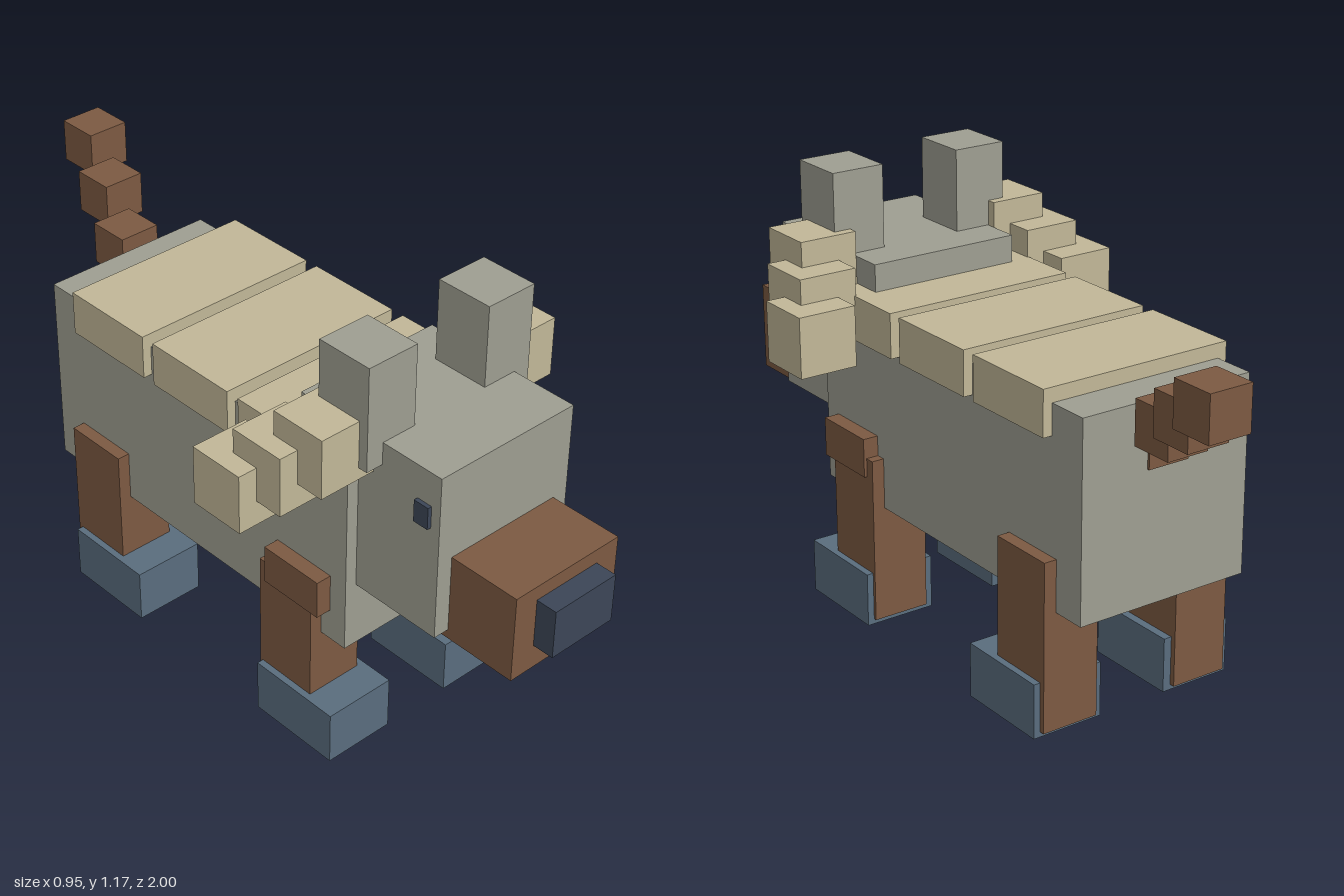
import * as THREE from 'three';

function material(name, color) {
  const m = new THREE.MeshStandardMaterial({ color });
  m.name = name;
  return m;
}

export function createModel() {
  const model = new THREE.Group();
  model.name = 'blockyAnimal';
  const grey = material('grey fur', 0x9f9f92);
  const tan = material('tan mane', 0xc2b898);
  const brown = material('brown fur', 0x7d5a42);
  const blue = material('blue grey paw', 0x5a6d7e);
  const dark = material('dark navy', 0x3c4657);

  // Box given by its extents on each axis
  function box(name, mat, [x0, x1], [y0, y1], [z0, z1]) {
    const mesh = new THREE.Mesh(new THREE.BoxGeometry(x1 - x0, y1 - y0, z1 - z0), mat);
    mesh.position.set((x0 + x1) / 2, (y0 + y1) / 2, (z0 + z1) / 2);
    mesh.name = name;
    model.add(mesh);
  }
  // The same box on the left (+x) and mirrored on the right
  function pair(name, mat, [x0, x1], y, z) {
    box(name + 'Left', mat, [x0, x1], y, z);
    box(name + 'Right', mat, [-x1, -x0], y, z);
  }

  // Torso, chest and head
  box('body', grey, [-0.243, 0.243], [0.324, 0.84], [-0.597, 0.487]);
  box('chestTuft', grey, [-0.052, 0.052], [0.385, 0.49], [0.39, 0.495]);
  box('head', grey, [-0.21, 0.21], [0.502, 0.95], [0.295, 0.745]);
  box('muzzle', brown, [-0.166, 0.166], [0.477, 0.712], [0.66, 0.943]);
  box('nose', dark, [-0.098, 0.098], [0.542, 0.673], [0.87, 1]);
  pair('ear', grey, [0.112, 0.258], [0.89, 1.167], [0.404, 0.562]);
  pair('eye', dark, [0.18, 0.221], [0.802, 0.861], [0.674, 0.718]);

  // Stepped mane blocks beside the head
  for (let i = 0; i < 3; i++) {
    const x = 0.212 + i * 0.052, y = 0.858 - i * 0.0655, z = 0.379 - i * 0.078;
    pair('maneBlock' + (i + 1), tan, [x, x + 0.158], [y, y + 0.158], [z, z + 0.157]);
  }

  // Plates along the back
  for (let i = 0; i < 3; i++) {
    const z = -0.484 + i * 0.312;
    box('backPlate' + (i + 1), tan, [-0.268, 0.268], [0.76, 0.878], [z, z + 0.274]);
  }

  // Legs and paws
  pair('frontLeg', brown, [0.12, 0.277], [0.014, 0.46], [0.224, 0.405]);
  pair('shoulder', brown, [0.115, 0.285], [0.41, 0.514], [0.25, 0.435]);
  pair('rearLeg', brown, [0.12, 0.277], [0.014, 0.46], [-0.504, -0.319]);
  pair('frontPaw', blue, [0.098, 0.295], [0, 0.145], [0.233, 0.497]);
  pair('rearPaw', blue, [0.098, 0.295], [0, 0.145], [-0.49, -0.229]);

  // Tail of separate cubes rising back and to the left
  for (let i = 0; i < 4; i++) {
    const x = -0.06 + i * 0.057, y = 0.67 + i * 0.0785, z = -0.603 - i * 0.1323;
    box('tailSegment' + (i + 1), brown, [x, x + 0.116], [y, y + 0.116], [z, z + 0.117]);
  }
  return model;
}
